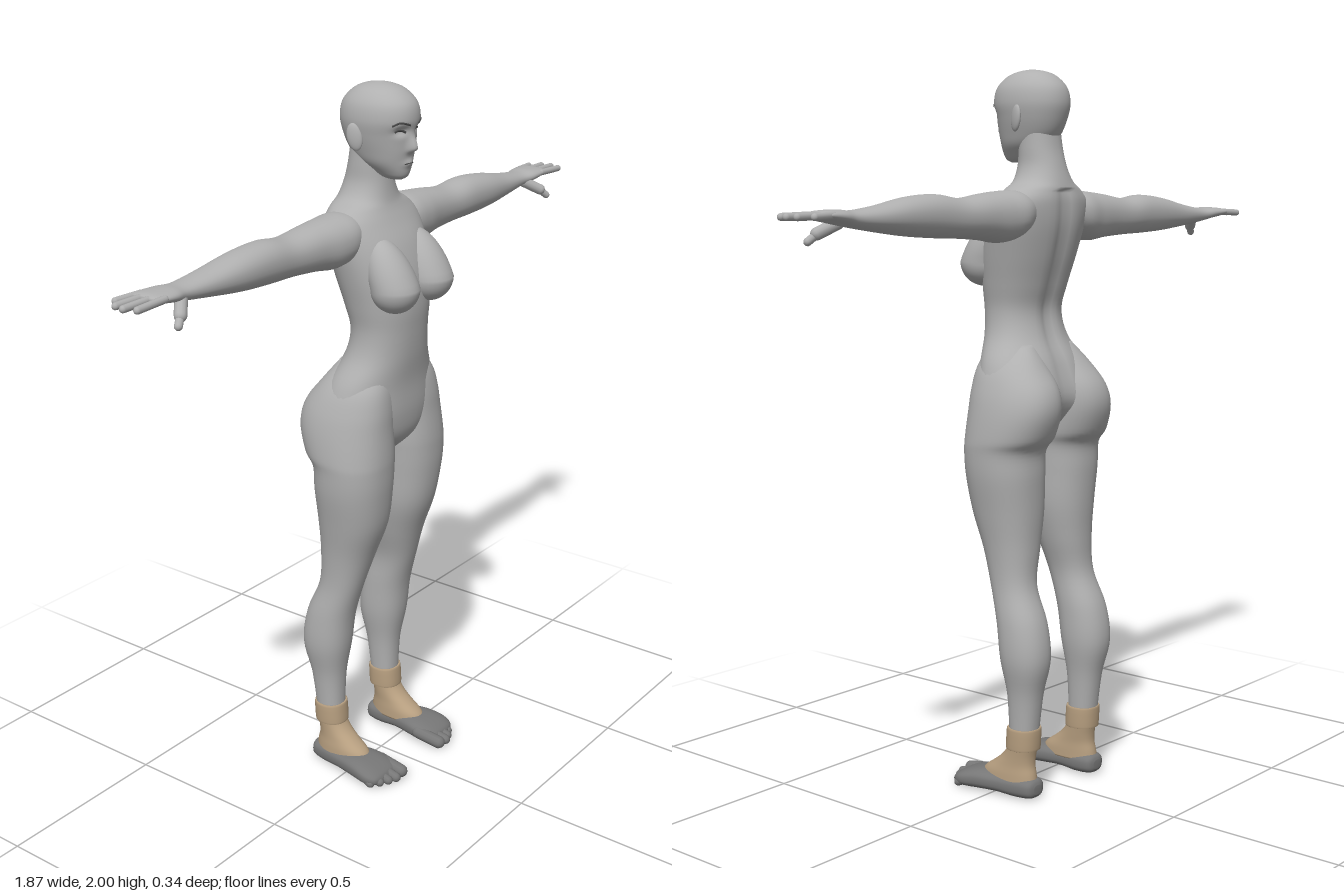
import * as THREE from 'three';

const material = (name, color) => {
  const m = new THREE.MeshStandardMaterial({ color });
  m.name = name;
  return m;
};

// Smooth loft along an axis. Sections are [t, a0, a1, b0, b1] in ascending t;
// a and b are the next two axes in cyclic order (y -> z,x  x -> y,z  z -> x,y).
function loft(axis, sections, { sides = 36, steps = 5, power = 2.2, shape = null } = {}) {
  const k = 'xyz'.indexOf(axis), pos = [], idx = [];
  const last = sections.length - 1, rings = last * steps;
  const at = (i) => sections[Math.max(0, Math.min(last, i))];
  const put = (t, a, b) => {
    const p = new THREE.Vector3();
    p.setComponent(k, t).setComponent((k + 1) % 3, a).setComponent((k + 2) % 3, b);
    if (shape) shape(p);
    pos.push(p.x, p.y, p.z);
  };
  const round = (c) => Math.sign(c) * Math.abs(c) ** (2 / power);
  for (let r = 0; r <= rings; r++) {
    const i = Math.min(last - 1, Math.floor(r / steps)), f = r / steps - i;
    const [t, a0, a1, b0, b1] = at(i).map((p1, c) => {
      const p0 = at(i - 1)[c], p2 = at(i + 1)[c], p3 = at(i + 2)[c];
      return p1 + 0.5 * f * (p2 - p0 + f * (2 * p0 - 5 * p1 + 4 * p2 - p3 + f * (3 * (p1 - p2) + p3 - p0)));
    });
    for (let j = 0; j < sides; j++) {
      const q = (j / sides) * Math.PI * 2;
      put(t, (a0 + a1) / 2 + round(Math.cos(q)) * (a1 - a0) / 2,
        (b0 + b1) / 2 + round(Math.sin(q)) * (b1 - b0) / 2);
    }
  }
  for (let r = 0; r < rings; r++) for (let j = 0; j < sides; j++) {
    const a = r * sides + j, b = r * sides + (j + 1) % sides;
    idx.push(a, b, b + sides, a, b + sides, a + sides);
  }
  // End caps
  const first = at(0), end = at(last), c0 = (rings + 1) * sides;
  for (const s of [first, end]) put(s[0], (s[1] + s[2]) / 2, (s[3] + s[4]) / 2);
  for (let j = 0; j < sides; j++) {
    const n = (j + 1) % sides, o = rings * sides;
    idx.push(c0, n, j, c0 + 1, o + j, o + n);
  }
  const g = new THREE.BufferGeometry();
  g.setAttribute('position', new THREE.Float32BufferAttribute(pos, 3));
  g.setIndex(idx);
  g.computeVertexNormals();
  return g;
}

// Rounded rod between two points
function rod(a, b, r) {
  const A = new THREE.Vector3(...a), B = new THREE.Vector3(...b), d = B.clone().sub(A);
  const g = new THREE.CapsuleGeometry(r, d.length(), 5, 12);
  g.applyQuaternion(new THREE.Quaternion().setFromUnitVectors(new THREE.Vector3(0, 1, 0), d.normalize()));
  return g.translate(...A.add(B).multiplyScalar(0.5).toArray());
}

function mirrored(geometry) {
  const g = geometry.clone().applyMatrix4(new THREE.Matrix4().makeScale(-1, 1, 1));
  const i = g.index.array;
  for (let n = 0; n < i.length; n += 3) [i[n + 1], i[n + 2]] = [i[n + 2], i[n + 1]];
  return g;
}

export function createModel() {
  const skin = material('bodyGrey', 0xb0b0b0), tan = material('ankleTan', 0xb79f80);
  const dark = material('footGrey', 0x777777), line = material('faceLine', 0x484848);
  const model = new THREE.Group();
  model.name = 'figure';
  const add = (name, geometry, mat) => {
    const mesh = new THREE.Mesh(geometry, mat);
    mesh.name = name;
    model.add(mesh);
    return mesh;
  };
  const pair = (name, geometry, mat) => {
    add('left' + name, geometry, mat);
    add('right' + name, mirrored(geometry), mat);
  };

  // Torso and neck
  const torso = [
    [0.99, -0.06, 0.04, 0.04], [1.04, -0.1, 0.085, 0.14], [1.11, -0.135, 0.1, 0.195],
    [1.2, -0.112, 0.102, 0.178], [1.28, -0.075, 0.112, 0.133], [1.35, -0.062, 0.118, 0.12],
    [1.42, -0.08, 0.122, 0.13], [1.5, -0.104, 0.115, 0.146], [1.58, -0.122, 0.09, 0.16],
    [1.64, -0.126, 0.058, 0.162], [1.675, -0.122, 0.04, 0.13], [1.7, -0.116, 0.032, 0.088],
    [1.74, -0.104, 0.026, 0.066], [1.79, -0.09, 0.022, 0.062], [1.85, -0.08, 0.02, 0.06],
  ].map(([y, z0, z1, w]) => [y, z0, z1, -w, w]);
  add('torso', loft('y', torso, {
    sides: 48,
    shape: (p) => { // spine groove
      if (p.z < 0 && p.y < 1.68) p.z += 0.014 * Math.exp(-((p.x / 0.022) ** 2));
    },
  }), skin);

  // Breasts: spheres drawn up and back into the chest
  const breast = new THREE.SphereGeometry(0.067, 32, 24);
  const bp = breast.attributes.position;
  for (let i = 0; i < bp.count; i++) {
    const y = bp.getY(i);
    if (y > 0) bp.setXYZ(i, bp.getX(i), y * 1.9, bp.getZ(i) - y * 0.75);
  }
  breast.computeVertexNormals();
  pair('Breast', breast.translate(0.077, 1.482, 0.103), skin);

  // Legs with hips and buttocks
  pair('Leg', loft('y', [
    [0.19, -0.126, -0.045, 0.093, 0.172], [0.3, -0.14, -0.04, 0.085, 0.181],
    [0.4, -0.162, -0.022, 0.07, 0.2], [0.5, -0.148, -0.008, 0.068, 0.198],
    [0.6, -0.108, 0.02, 0.068, 0.186], [0.7, -0.105, 0.05, 0.042, 0.19],
    [0.8, -0.11, 0.085, 0.02, 0.205], [0.9, -0.114, 0.1, 0.014, 0.222],
    [0.97, -0.116, 0.104, 0.01, 0.227], [1.01, -0.146, 0.104, 0.004, 0.228],
    [1.08, -0.168, 0.1, 0.003, 0.219], [1.14, -0.158, 0.098, 0.005, 0.203],
    [1.2, -0.115, 0.09, 0.015, 0.174], [1.26, -0.07, 0.07, 0.04, 0.12],
  ], { sides: 40 }), skin);

  // Arms
  pair('Arm', loft('x', [
    [0.07, 1.59, 1.66, -0.09, 0.01], [0.13, 1.55, 1.675, -0.115, 0.035],
    [0.19, 1.537, 1.673, -0.112, 0.034], [0.26, 1.545, 1.666, -0.106, 0.022],
    [0.35, 1.551, 1.655, -0.102, 0.014], [0.44, 1.554, 1.665, -0.098, 0.016],
    [0.54, 1.56, 1.657, -0.096, 0.014], [0.64, 1.571, 1.638, -0.092, 0.002],
    [0.73, 1.583, 1.626, -0.085, -0.008], [0.78, 1.592, 1.628, -0.092, 0.002],
    [0.83, 1.601, 1.626, -0.096, 0.001], [0.85, 1.608, 1.62, -0.09, -0.006],
  ]), skin);

  // Fingers and thumb
  [[-0.006, -0.003, 0.912], [-0.034, -0.036, 0.924], [-0.06, -0.066, 0.918], [-0.083, -0.094, 0.89]]
    .forEach(([z0, z1, tip], i) => pair('Finger' + (i + 1),
      rod([0.82, 1.614, z0], [tip - 0.0, 1.611, z1], 0.0095), skin));
  pair('ThumbBase', rod([0.75, 1.595, -0.022], [0.788, 1.57, 0.01], 0.016), skin);
  pair('ThumbTip', rod([0.785, 1.572, 0.008], [0.808, 1.551, 0.021], 0.0105), skin);

  // Head with nose, eye sockets, lips and brow ridge
  const bump = (p, x, y, sx, sy) => Math.exp(-(((p.x - x) / sx) ** 2) - ((p.y - y) / sy) ** 2);
  const head = add('head', loft('y', [
    [1.752, 0.02, 0.066, 0.012], [1.76, 0.0, 0.08, 0.028], [1.775, -0.03, 0.087, 0.042],
    [1.8, -0.065, 0.09, 0.06], [1.83, -0.09, 0.095, 0.071], [1.87, -0.107, 0.099, 0.082],
    [1.91, -0.115, 0.108, 0.088], [1.95, -0.106, 0.1, 0.081], [1.98, -0.077, 0.07, 0.059],
    [1.994, -0.045, 0.038, 0.032], [2.0, -0.006, 0.002, 0.003],
  ].map(([y, z0, z1, w]) => [y, z0, z1, -w, w]), {
    sides: 80, steps: 8, power: 2.1,
    shape: (p) => {
      if (p.z < 0.02) return;
      const dz = 0.022 * bump(p, 0, 1.838, 0.013, p.y > 1.838 ? 0.03 : 0.01)
        + 0.007 * bump(p, 0, 1.798, 0.018, 0.01)
        - 0.012 * (bump(p, 0.034, 1.885, 0.018, 0.011) + bump(p, -0.034, 1.885, 0.018, 0.011));
      p.z += dz;
    },
  }), skin);

  // Brows, eyes and mouth laid on the face
  const ray = new THREE.Raycaster();
  const faceLine = (points, r) => {
    const pts = points.map(([x, y]) => {
      ray.set(new THREE.Vector3(x, y, 1), new THREE.Vector3(0, 0, -1));
      const hit = ray.intersectObject(head)[0];
      return new THREE.Vector3(x, y, hit ? hit.point.z : 0.08);
    });
    return new THREE.TubeGeometry(new THREE.CatmullRomCurve3(pts), 20, r, 6);
  };
  pair('Brow', faceLine([[0.016, 1.9], [0.03, 1.905], [0.045, 1.908], [0.06, 1.9]], 0.0028), line);
  pair('Eye', faceLine([[0.02, 1.881], [0.028, 1.886], [0.039, 1.887], [0.05, 1.883]], 0.0032), line);
  add('mouth', faceLine([[-0.018, 1.797], [-0.008, 1.799], [0.008, 1.799], [0.018, 1.797]], 0.0015), line);

  // Ears
  const ear = new THREE.SphereGeometry(1, 20, 14).scale(0.009, 0.036, 0.021);
  pair('Ear', ear.rotateX(-0.2).rotateY(-0.35).translate(0.088, 1.867, -0.02), skin);

  // Ankle wraps
  pair('AnkleWrap', loft('y', [
    [0.045, -0.128, 0.06, 0.092, 0.18], [0.07, -0.124, 0.045, 0.093, 0.178],
    [0.095, -0.118, 0.01, 0.095, 0.174], [0.12, -0.118, -0.02, 0.095, 0.172],
    [0.15, -0.122, -0.04, 0.094, 0.172], [0.185, -0.126, -0.043, 0.092, 0.174],
  ]), tan);
  pair('AnkleCuff', loft('y', [
    [0.142, -0.128, -0.036, 0.089, 0.176], [0.148, -0.13, -0.034, 0.087, 0.178],
    [0.198, -0.132, -0.038, 0.086, 0.179], [0.203, -0.129, -0.041, 0.089, 0.176],
  ], { steps: 3 }), tan);

  // Feet and toes
  pair('Foot', loft('z', [
    [-0.137, 0.12, 0.15, 0.02, 0.045], [-0.125, 0.1, 0.17, 0.008, 0.06],
    [-0.08, 0.093, 0.18, 0.004, 0.064], [-0.02, 0.092, 0.19, 0.008, 0.064],
    [0.04, 0.082, 0.202, 0.006, 0.066], [0.09, 0.077, 0.208, 0.004, 0.056],
    [0.12, 0.084, 0.196, 0.008, 0.042], [0.13, 0.1, 0.17, 0.015, 0.03],
  ], { power: 2.6 }), dark);
  [[0.096, 0.146, 0.019], [0.127, 0.15, 0.0145], [0.151, 0.14, 0.0135], [0.174, 0.126, 0.013], [0.195, 0.108, 0.012]]
    .forEach(([x, tip, r], i) => pair('Toe' + (i + 1),
      rod([x - 0.003, 0.034, 0.07], [x, r + 0.005, tip - 0.002], r), dark));

  // Rest the soles on the ground
  const box = new THREE.Box3().setFromObject(model);
  model.children.forEach((m) => m.geometry.translate(0, -box.min.y, 0));
  return model;
}
